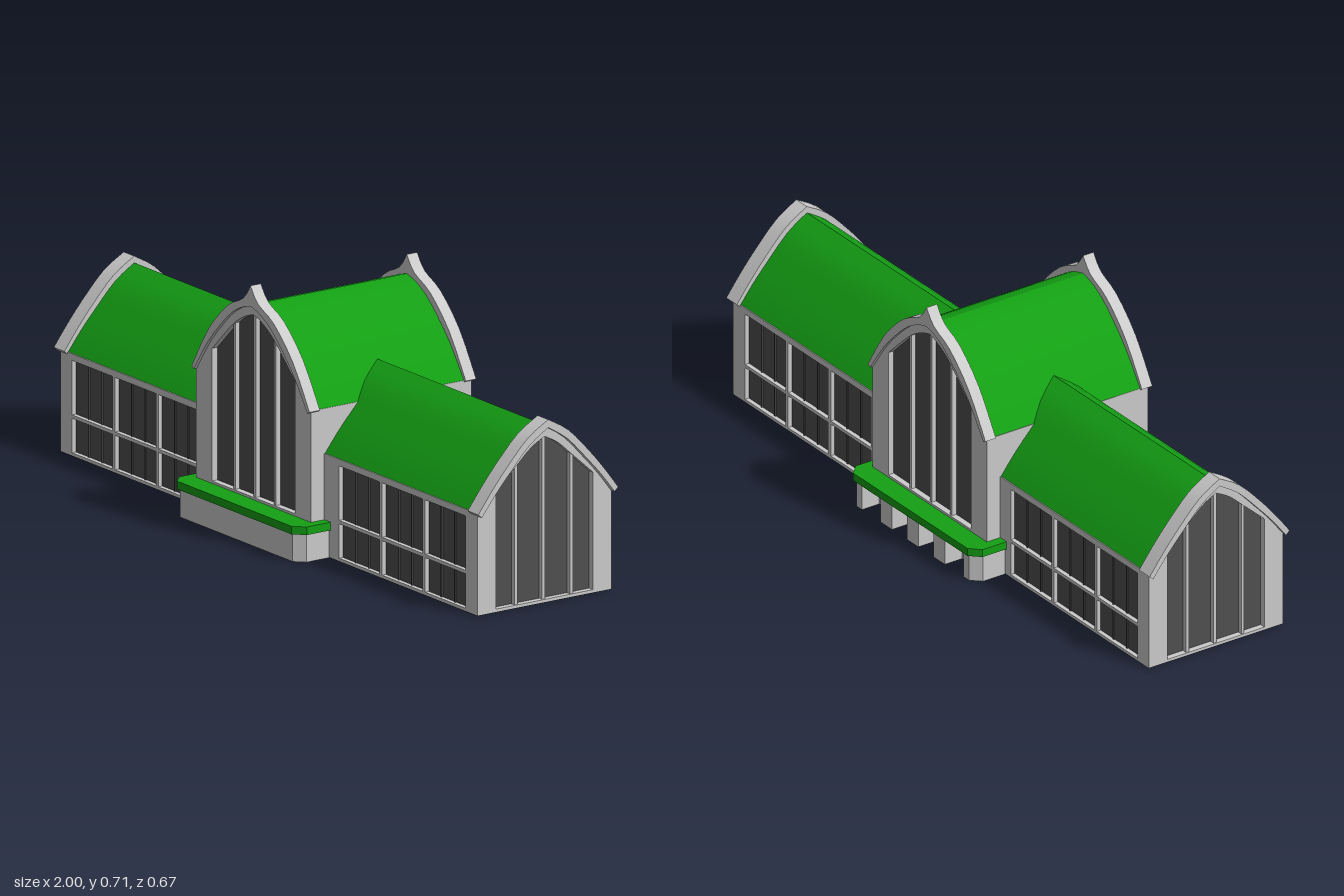
import * as THREE from 'three';
import { toCreasedNormals } from 'three/addons/utils/BufferGeometryUtils.js';

const mat = (color) => new THREE.MeshStandardMaterial({ color, side: THREE.DoubleSide });
const stone = mat(0xcccccc);
const green = mat(0x14a014);
const glass = mat(0x505050);
const BASE = 0.002; // walls rest on the floor slab

function add(parent, name, geometry, material) {
  const mesh = new THREE.Mesh(geometry, material);
  mesh.name = name;
  parent.add(mesh);
  return mesh;
}

function box(parent, name, material, x0, x1, y0, y1, z0, z1) {
  const mesh = add(parent, name, new THREE.BoxGeometry(x1 - x0, y1 - y0, z1 - z0), material);
  mesh.position.set((x0 + x1) / 2, (y0 + y1) / 2, (z0 + z1) / 2);
  return mesh;
}

const shapeOf = (pts) => new THREE.Shape(pts.map(([x, y]) => new THREE.Vector2(x, y)));
const pathOf = (pts) => new THREE.Path(pts.map(([x, y]) => new THREE.Vector2(x, y)));
const rect = (x0, x1, y0, y1) => [[x0, y0], [x1, y0], [x1, y1], [x0, y1]];

// Extrudes a shape from z0 to z1
function extrude(shape, z0, z1) {
  const geo = new THREE.ExtrudeGeometry(shape, { depth: z1 - z0, bevelEnabled: false });
  geo.translate(0, 0, z0);
  return toCreasedNormals(geo, 0.3);
}

// Smooth half profile (eave to ridge), mirrored into a pointed arch from right to left
function arch(half) {
  const curve = new THREE.SplineCurve(half.map(([x, y]) => new THREE.Vector2(x, y)));
  const side = curve.getPoints(12).map((p) => [p.x, p.y]);
  return [...side, ...side.slice(0, -1).reverse().map(([x, y]) => [-x, y])];
}

// Closed strip between two arches
const band = (outer, inner) => shapeOf([...outer, ...[...inner].reverse()]);

// A hall running along z: vaulted roof, and at both ends a gable with a tall window and an arched trim
function hall({ name, roof, trim, opening, sill, mullions, roofEnd, wallEnd, trimStart, trimEnd }) {
  const group = new THREE.Group();
  group.name = name;
  const roofArch = arch(roof);
  const lower = roofArch.map(([x, y]) => [x * 0.96, y - 0.012]);
  const openArch = arch(opening);
  const w = roof[0][0];
  const ow = opening[0][0];

  add(group, 'roof', extrude(band(roofArch, lower), -roofEnd, roofEnd), green);

  const wall = shapeOf([[-w, BASE], [w, BASE], ...roofArch]);
  wall.holes.push(pathOf([[-ow, sill], [ow, sill], ...openArch]));
  const pane = shapeOf([[-ow - 0.01, sill - 0.005], [ow + 0.01, sill - 0.005],
    ...openArch.map(([x, y]) => [x * 1.05, y + 0.005])]);

  for (const s of [1, -1]) {
    const gable = new THREE.Group();
    gable.name = s > 0 ? 'gableA' : 'gableB';
    gable.rotation.y = s > 0 ? 0 : Math.PI;
    group.add(gable);
    add(gable, 'gableWall', extrude(wall, wallEnd - 0.025, wallEnd), stone);
    add(gable, 'gableGlass', extrude(pane, wallEnd - 0.024, wallEnd - 0.018), glass);
    add(gable, 'gableTrim', extrude(band(arch(trim), roofArch.map(([x, y]) => [x * 0.99, y - 0.004])),
      trimStart, trimEnd), stone);
    for (const [x, top] of mullions) {
      box(gable, 'mullion', stone, x - 0.005, x + 0.005, sill - 0.004, top, wallEnd - 0.022, wallEnd - 0.004);
    }
  }
  return group;
}

// Side wall of one wing with three bays of two-row windows, facing +z
function wingWall(xInner, xOuter, winInner, winOuter) {
  const group = new THREE.Group();
  group.name = 'wingWall';
  const zFace = 0.225;
  const [x0, x1] = [Math.min(xInner, xOuter), Math.max(xInner, xOuter)];
  const [a, b] = [Math.min(winInner, winOuter), Math.max(winInner, winOuter)];
  const wall = shapeOf(rect(x0, x1, BASE, 0.292));
  const bay = (b - a + 0.012) / 3;
  const rows = [[0.01, 0.108], [0.118, 0.273]];
  for (let i = 0; i < 3; i++) {
    const l = a + i * bay;
    const r = l + bay - 0.012;
    for (const [y0, y1] of rows) wall.holes.push(pathOf(rect(l, r, y0, y1)));
    for (const k of [1, 2]) {
      const x = l + ((r - l) * k) / 3;
      box(group, 'glazingBar', glass, x - 0.002, x + 0.002, 0.008, 0.275, zFace - 0.015, zFace - 0.009);
    }
  }
  add(group, 'wall', extrude(wall, zFace - 0.02, zFace), stone);
  box(group, 'windowGlass', glass, a - 0.005, b + 0.005, 0.008, 0.276, zFace - 0.019, zFace - 0.013);
  return group;
}

// Plan outline of the ledge with chamfered outer corners, in x and outward distance
const ledgePlan = (inset) => [
  [-0.31 + inset, 0.225], [0.29 - inset, 0.225], [0.29 - inset, 0.305 - inset * 0.6],
  [0.26 - inset * 0.6, 0.335 - inset], [-0.28 + inset * 0.6, 0.335 - inset], [-0.31 + inset, 0.305 - inset * 0.6],
];

// Extrudes a plan upward from y0 to y1 on the front (s = 1) or back (s = -1)
function planSolid(shape, s, y0, y1) {
  const geo = extrude(shape, 0, y1 - y0);
  geo.rotateX((s * Math.PI) / 2);
  geo.translate(0, s > 0 ? y1 : y0, 0);
  return geo;
}

export function createModel() {
  const model = new THREE.Group();
  model.name = 'pavilion';

  // Long hall across x
  const nave = hall({
    name: 'longHall',
    roof: [[0.225, 0.288], [0.18, 0.345], [0.13, 0.4], [0.065, 0.466], [0, 0.508]],
    trim: [[0.235, 0.295], [0.19, 0.354], [0.138, 0.415], [0.068, 0.486], [0, 0.527]],
    opening: [[0.163, 0.345], [0.095, 0.406], [0.045, 0.45], [0, 0.475]],
    sill: 0.01,
    mullions: [[-0.093, 0.415], [0, 0.48], [0.093, 0.415]],
    roofEnd: 0.96, wallEnd: 0.982, trimStart: 0.95, trimEnd: 1.0,
  });
  nave.rotation.y = Math.PI / 2;
  model.add(nave);

  // Taller cross hall along z
  const cross = hall({
    name: 'crossHall',
    roof: [[0.27, 0.418], [0.2, 0.515], [0.11, 0.605], [0.05, 0.644], [0, 0.66]],
    trim: [[0.278, 0.42], [0.2, 0.543], [0.11, 0.632], [0.035, 0.671], [0, 0.715]],
    opening: [[0.195, 0.488], [0.1, 0.578], [0.045, 0.614], [0, 0.63]],
    sill: 0.11,
    mullions: [[-0.096, 0.588], [0, 0.635], [0.096, 0.588]],
    roofEnd: 0.25, wallEnd: 0.27, trimStart: 0.245, trimEnd: 0.28,
  });
  cross.position.x = -0.01;
  model.add(cross);
  for (const s of [1, -1]) {
    box(cross, 'crossSideWall', stone, s * 0.26 - 0.01, s * 0.26 + 0.01, BASE, 0.42, -0.26, 0.26);
  }

  // Glazed wing walls, front and back
  for (const s of [1, -1]) {
    const side = new THREE.Group();
    side.name = s > 0 ? 'frontWingWalls' : 'backWingWalls';
    side.add(wingWall(0.25, 0.965, 0.33, 0.925), wingWall(-0.27, -0.965, -0.33, -0.928));
    side.scale.z = s;
    model.add(side);
    add(model, s > 0 ? 'frontLedge' : 'backLedge', planSolid(shapeOf(ledgePlan(0)), s, 0.08, 0.103), green);
  }

  // Front plinth: thin hollow wall under the ledge
  const plinth = shapeOf(ledgePlan(0.007));
  plinth.holes.push(pathOf(ledgePlan(0.018).map(([x, z]) => [x, Math.max(z, 0.23)])));
  add(model, 'frontPlinth', planSolid(plinth, 1, 0, 0.08), stone);

  // Back plinth: separate piers with open gaps, chamfered at the ends
  for (const s of [1, -1]) {
    const end = [[0.24, 0.225], [0.293, 0.225], [0.293, 0.299], [0.266, 0.327], [0.24, 0.327]];
    add(model, 'endPier', planSolid(shapeOf(end.map(([x, z]) => [s * x - 0.01, z])), -1, 0, 0.08), stone);
  }
  for (const x of [-0.135, -0.01, 0.115]) {
    box(model, 'pier', stone, x - 0.027, x + 0.027, 0, 0.08, -0.327, -0.265);
  }

  // Floor slabs
  box(model, 'longFloor', glass, -0.98, 0.98, 0, 0.004, -0.224, 0.224);
  box(model, 'crossFloor', glass, -0.279, 0.259, 0, 0.004, -0.269, 0.269);

  return model;
}
